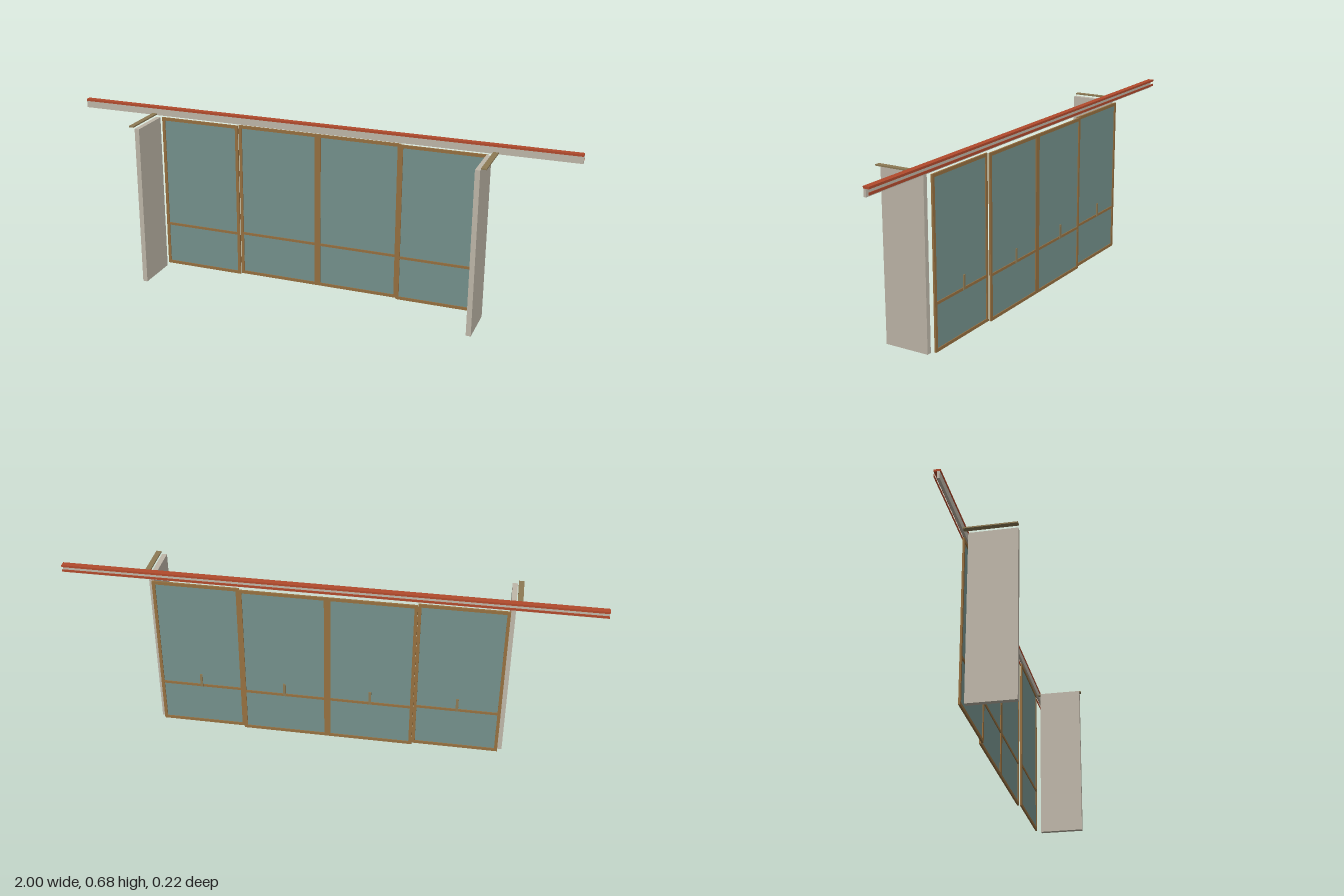
import * as THREE from 'three';

const material = (name, color, extra = {}) => {
  const m = new THREE.MeshStandardMaterial({ color, ...extra });
  m.name = name;
  return m;
};

export function createModel() {
  const model = new THREE.Group();
  model.name = 'slidingDoorScreen';
  const plaster = material('plaster', 0xbfb7a9);
  const terracotta = material('terracotta', 0xb24a2c);
  const wood = material('wood', 0x967040);
  const bronze = material('bronze', 0x8d7a54);
  const glass = material('glass', 0x74918c, { side: THREE.DoubleSide });

  // Box given by its lower and upper limits on each axis
  const block = (parent, name, mat, [x0, x1], [y0, y1], [z0, z1]) => {
    const mesh = new THREE.Mesh(new THREE.BoxGeometry(x1 - x0, y1 - y0, z1 - z0), mat);
    mesh.position.set((x0 + x1) / 2, (y0 + y1) / 2, (z0 + z1) / 2);
    mesh.name = name;
    parent.add(mesh);
    return mesh;
  };

  // Long head rail: cap, front fascia and rear lip
  block(model, 'railCap', terracotta, [-1, 1], [0.672, 0.68], [-0.102, -0.079]);
  block(model, 'railFascia', plaster, [-1, 1], [0.645, 0.672], [-0.09, -0.081]);
  block(model, 'railRearLip', terracotta, [-1, 1], [0.653, 0.662], [-0.102, -0.1]);

  // Side walls with a bracket bar above each
  for (const [side, s] of [['right', -1], ['left', 1]]) {
    const span = (a, b) => (s > 0 ? [a, b] : [-b, -a]);
    block(model, side + 'Wall', plaster, span(0.658, 0.677), [0, 0.642], [-0.067, 0.108]);
    block(model, side + 'Bracket', bronze, span(0.68, 0.7), [0.647, 0.652], [-0.081, 0.111]);
  }

  // Four sliding doors: outer pair on the front track, inner pair behind
  const width = 0.33, bar = 0.012, y0 = 0.006, y1 = 0.637;
  for (let i = 0; i < 4; i++) {
    const door = new THREE.Group();
    door.name = 'door' + (i + 1);
    const x0 = -0.66 + i * width, x1 = x0 + width, mid = (x0 + x1) / 2;
    const front = i === 0 || i === 3 ? -0.084 : -0.0945;
    const z = [front - 0.007, front];
    const inner = [x0 + bar, x1 - bar];

    block(door, 'rightStile', wood, [x0, x0 + bar], [y0, y1], z);
    block(door, 'leftStile', wood, [x1 - bar, x1], [y0, y1], z);
    block(door, 'bottomRail', wood, inner, [y0, y0 + bar], z);
    block(door, 'topRail', wood, inner, [y1 - bar, y1], z);
    block(door, 'midRail', wood, inner, [0.178, 0.188], z);

    // Pane in the middle of the frame depth
    const pane = new THREE.Mesh(new THREE.PlaneGeometry(width - 2 * bar, y1 - y0 - 2 * bar), glass);
    pane.name = 'pane';
    pane.position.set(mid, (y0 + y1) / 2, front - 0.0035);
    door.add(pane);

    // Pull handle on the rear face
    block(door, 'handle', bronze, [mid - 0.005, mid + 0.005], [0.184, 0.24], [front - 0.016, front - 0.012]);
    model.add(door);
  }
  return model;
}
